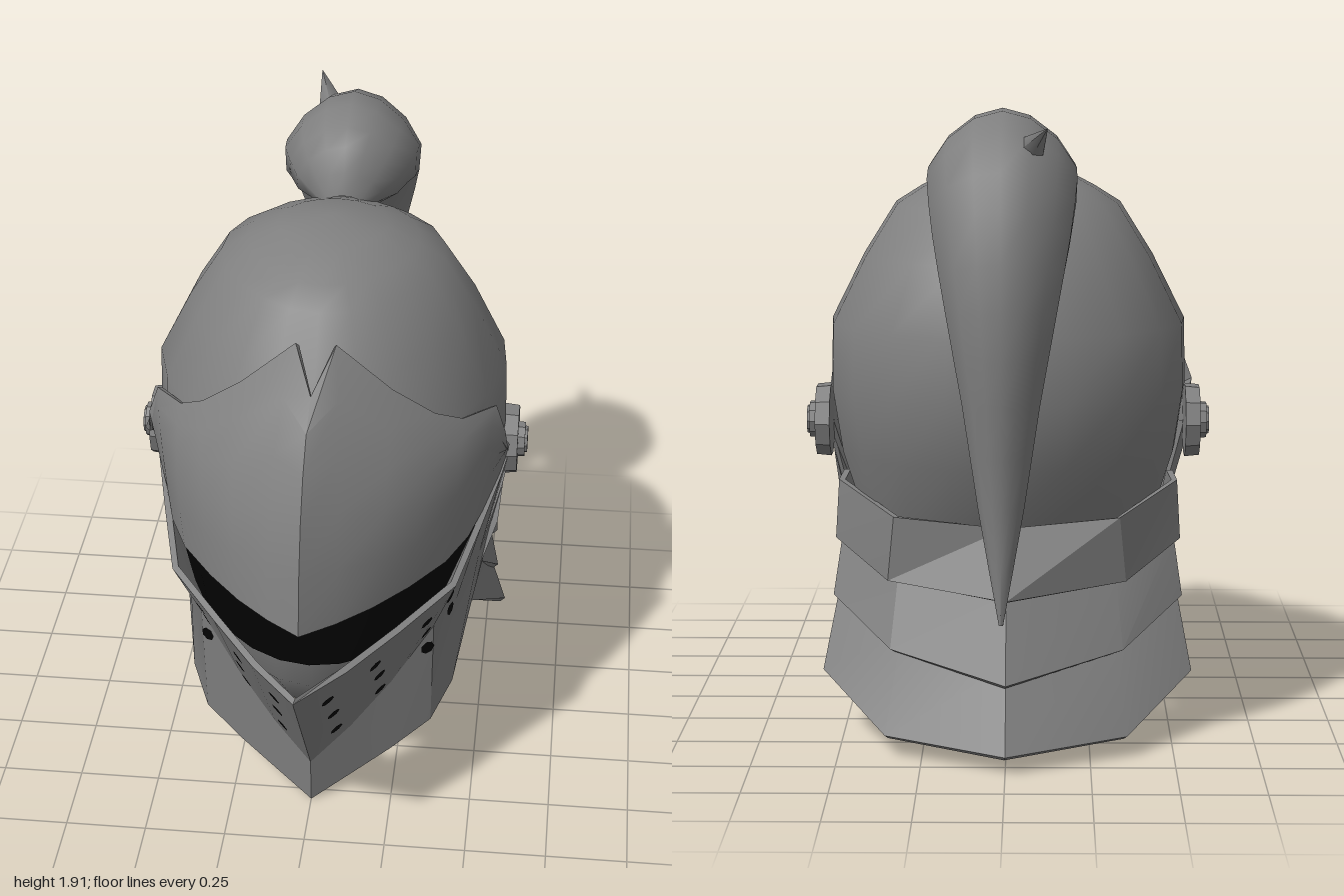
import * as THREE from 'three';
import { toCreasedNormals } from 'three/addons/utils/BufferGeometryUtils.js';

const steel = new THREE.MeshStandardMaterial({ color: 0x808080, side: THREE.DoubleSide });
steel.name = 'steel grey';
const dark = new THREE.MeshStandardMaterial({ color: 0x030303, side: THREE.DoubleSide });
dark.name = 'opening black';

const V = (x, y, z) => new THREE.Vector3(x, y, z);

function build(points, index) {
  const g = new THREE.BufferGeometry().setFromPoints(points);
  g.setIndex(index);
  return g;
}

// Surface through columns of points; columns run left to right, points bottom to top
function surface(cols) {
  const n = cols[0].length, index = [];
  for (let i = 0; i < cols.length - 1; i++) {
    for (let j = 0; j < n - 1; j++) {
      const a = i * n + j, b = a + n;
      index.push(a, b, b + 1, a, b + 1, a + 1);
    }
  }
  return build(cols.flat(), index);
}

// Surface given thickness, with a closed rim
function plate(cols, thickness, crease) {
  const outer = surface(cols), pts = cols.flat(), total = pts.length;
  const n = cols[0].length, m = cols.length;
  outer.computeVertexNormals();
  const normal = outer.attributes.normal;
  const inner = pts.map((p, i) =>
    p.clone().addScaledVector(V(0, 0, 0).fromBufferAttribute(normal, i), -thickness));
  const index = [...outer.index.array];
  for (let k = 0, len = index.length; k < len; k += 3) {
    index.push(index[k] + total, index[k + 2] + total, index[k + 1] + total);
  }
  const rim = [];
  for (let i = 0; i < m - 1; i++) rim.push(i * n);
  for (let j = 0; j < n - 1; j++) rim.push((m - 1) * n + j);
  for (let i = m - 1; i > 0; i--) rim.push(i * n + n - 1);
  for (let j = n - 1; j > 0; j--) rim.push(j);
  rim.forEach((p, k) => {
    const q = rim[(k + 1) % rim.length];
    index.push(q, p, p + total, q, p + total, q + total);
  });
  return toCreasedNormals(build([...pts, ...inner], index), crease);
}

// Half set of columns (centre first, towards +x) completed to both sides
const mirrored = half => [
  ...half.slice(1).reverse().map(c => c.map(p => V(-p.x, p.y, p.z))), ...half];

export function createModel() {
  const model = new THREE.Group();
  model.name = 'helmet';
  const add = (geometry, material, name) => {
    const mesh = new THREE.Mesh(geometry, material);
    mesh.name = name;
    model.add(mesh);
    return mesh;
  };

  // Skull: rings of y, half width, front z, back z
  const rings = [
    [0.215, 0, -0.07, -0.07], [0.25, 0.3, 0.38, -0.27], [0.42, 0.42, 0.52, -0.36],
    [0.67, 0.465, 0.57, -0.49], [0.85, 0.52, 0.59, -0.59], [1.05, 0.55, 0.6, -0.635],
    [1.25, 0.545, 0.52, -0.63], [1.45, 0.445, 0.41, -0.575], [1.61, 0.345, 0.285, -0.475],
    [1.66, 0.265, 0.21, -0.4], [1.71, 0.17, 0.06, -0.28], [1.735, 0, -0.12, -0.12]];
  const ringPoint = ([y, w, zf, zb], a) => {
    const c = Math.cos(a), mid = Math.max(zb, Math.min(zf, -0.1));
    return V(w * Math.sin(a) * (1 - 0.15 * Math.max(0, c) + 0.07 * Math.max(0, -c)), y,
      mid + c * (c > 0 ? zf - mid : mid - zb));
  };
  const sweep = (rows, from, to, n) => Array.from({ length: n + 1 }, (_, i) =>
    rows.map(r => ringPoint(r, from + (to - from) * i / n)));
  add(toCreasedNormals(surface(sweep(rings, 0, Math.PI * 2, 20)), 1.2), steel, 'skull');

  // Dark upright band behind the eye slit
  const band = [[0.56, 0.485, 0.6, -0.6], [0.7, 0.515, 0.615, -0.6], [0.98, 0.555, 0.615, -0.6]];
  add(toCreasedNormals(surface(sweep(band, -1.35, 1.35, 12)), 1), dark, 'eyeOpening');

  // Visor: bottom and top edge joined by bulging columns
  const visorBottom = [[0, 0.85, 0.86], [0.1, 0.85, 0.785], [0.2, 0.85, 0.69], [0.3, 0.85, 0.57],
    [0.4, 0.855, 0.43], [0.46, 0.86, 0.29], [0.495, 0.87, 0.16], [0.54, 0.91, 0],
    [0.56, 0.92, -0.1], [0.565, 0.93, -0.17]];
  const visorTop = [[0, 1.46, 0.52], [0.06, 1.555, 0.375], [0.225, 1.41, 0.365], [0.35, 1.31, 0.32],
    [0.43, 1.25, 0.24], [0.525, 1.22, 0.1], [0.555, 1.13, 0.1], [0.565, 1.03, 0.05],
    [0.565, 0.98, -0.07], [0.565, 0.96, -0.17]];
  const visor = visorBottom.map((b, i) => {
    const p = V(...b), q = V(...visorTop[i]), lift = [0.82, 0.64, 0.72][i] ?? 0.78;
    const bulge = V(p.x + Math.min(0.04, p.x * 0.2) * (q.y - p.y > 0.2 ? 1 : 0.3),
      p.y + lift * (q.y - p.y), p.z - 0.03);
    return new THREE.QuadraticBezierCurve3(p, bulge, q).getPoints(5);
  });
  add(plate(mirrored(visor), 0.018, 0.6), steel, 'visor');

  // Face guard: bottom, fold and top point of each column
  const guard = [
    [[0, 0, 0.55], [0, 0.16, 0.565], [0, 0.71, 1]],
    [[0.12, 0.055, 0.477], [0.12, 0.26, 0.495], [0.14, 0.72, 0.84]],
    [[0.24, 0.11, 0.403], [0.24, 0.39, 0.425], [0.28, 0.74, 0.65]],
    [[0.36, 0.18, 0.33], [0.365, 0.57, 0.365], [0.435, 0.79, 0.46]],
    [[0.42, 0.25, 0.21], [0.425, 0.56, 0.2], [0.495, 0.85, 0.22]],
    [[0.465, 0.42, 0.01], [0.485, 0.62, 0.015], [0.545, 0.91, 0.01]],
    [[0.52, 0.72, -0.03], [0.55, 0.84, -0.07], [0.575, 0.96, -0.13]],
  ].map(c => c.map(p => V(...p)));
  const guardMesh = add(plate(mirrored(guard), 0.02, 0.45), steel, 'faceGuard');

  // Breathing holes, laid on the guard from the side
  const holes = [[0.81, 0.59], [0.66, 0.62], [0.49, 0.67], [0.34, 0.73], [0.7, 0.46], [0.57, 0.52],
    [0.43, 0.59], [0.3, 0.64], [0.59, 0.32], [0.48, 0.4], [0.37, 0.49], [0.25, 0.56]];
  const holeShape = new THREE.CircleGeometry(0.024, 7);
  for (const side of [1, -1]) {
    for (const [z, y] of holes) {
      const ray = new THREE.Raycaster(V(side * 3, y, z), V(-side, 0, 0));
      const hit = ray.intersectObject(guardMesh)[0];
      if (!hit) continue;
      const hole = add(holeShape, dark, 'breathingHole');
      hole.position.copy(hit.point).addScaledVector(hit.face.normal, 0.003);
      hole.quaternion.setFromUnitVectors(V(0, 0, 1), hit.face.normal);
    }
  }

  // Neck lames: bottom and top edges from the back centre to the side
  const lames = [
    [[[0, 0.47, -0.64], [0.36, 0.49, -0.45], [0.535, 0.57, -0.2], [0.5, 0.66, 0]],
      [[0, 0.67, -0.535], [0.34, 0.69, -0.47], [0.525, 0.75, -0.18], [0.515, 0.765, -0.09]]],
    [[[0, 0.24, -0.735], [0.35, 0.295, -0.52], [0.54, 0.4, -0.25], [0.48, 0.58, 0]],
      [[0, 0.48, -0.59], [0.33, 0.5, -0.41], [0.515, 0.58, -0.18], [0.485, 0.66, 0]]],
    [[[0, 0.055, -0.835], [0.36, 0.065, -0.65], [0.565, 0.19, -0.36], [0.46, 0.42, 0]],
      [[0, 0.28, -0.67], [0.32, 0.32, -0.48], [0.52, 0.43, -0.23], [0.47, 0.58, 0]]]];
  for (const [low, high] of lames) {
    const half = low.map((p, i) => [V(...p), V(...high[i])]);
    add(plate(mirrored(half).reverse(), 0.02, 0.3), steel, 'neckLame');
  }

  // Pivots: disc, boss and raised centre on each side
  for (const side of [1, -1]) {
    const pivot = new THREE.Group();
    pivot.name = side > 0 ? 'leftPivot' : 'rightPivot';
    for (const [r, x0, x1, n] of [[0.115, 0.545, 0.59, 10], [0.058, 0.58, 0.612, 10], [0.045, 0.6, 0.62, 10]]) {
      const disc = new THREE.Mesh(
        toCreasedNormals(new THREE.CylinderGeometry(r * 0.96, r, x1 - x0, n), 0.3), steel);
      disc.name = 'pivotDisc';
      disc.rotation.z = -side * Math.PI / 2;
      disc.position.set(side * (x0 + x1) / 2, 0.94, -0.175);
      pivot.add(disc);
    }
    model.add(pivot);
  }

  // Plume: stations of z, y, depth radius, width radius; narrower along its outer ridge
  const stations = [[-0.33, 1.67, 0.04, 0.07], [-0.42, 1.72, 0.135, 0.16], [-0.54, 1.755, 0.16, 0.21],
    [-0.69, 1.72, 0.17, 0.215], [-0.81, 1.57, 0.15, 0.195], [-0.885, 1.35, 0.11, 0.155],
    [-0.9, 1.1, 0.08, 0.11], [-0.895, 0.8, 0.045, 0.065], [-0.92, 0.47, 0.004, 0.006]];
  const path = new THREE.CatmullRomCurve3(stations.map(s => V(0.01, s[1], s[0])));
  const size = new THREE.CatmullRomCurve3(stations.map(s => V(s[2], s[3], 0)));
  const sides = 12, steps = 16;
  const plume = Array.from({ length: sides + 1 }, (_, i) => {
    const a = i / sides * Math.PI * 2;
    return Array.from({ length: steps + 1 }, (_, k) => {
      const p = path.getPoint(k / steps), t = path.getTangent(k / steps), r = size.getPoint(k / steps);
      const d = Math.cos(a) * r.x, across = Math.sin(a) * (1 - 0.28 * Math.cos(a)) * r.y;
      return V(p.x + across, p.y - t.z * d, p.z + t.y * d);
    });
  });
  add(toCreasedNormals(surface(plume), 1.2), steel, 'plume');

  // Loose wisps of the plume
  for (const [from, to, r] of [[V(-0.06, 1.79, -0.72), V(-0.12, 1.875, -0.9), 0.055],
    [V(0.04, 1.15, -0.84), V(0.03, 0.83, -0.76), 0.04]]) {
    const dir = to.clone().sub(from);
    const wisp = add(new THREE.ConeGeometry(r, dir.length(), 6), steel, 'plumeWisp');
    wisp.position.copy(from).addScaledVector(dir, 0.5);
    wisp.quaternion.setFromUnitVectors(V(0, 1, 0), dir.normalize());
  }
  return model;
}
